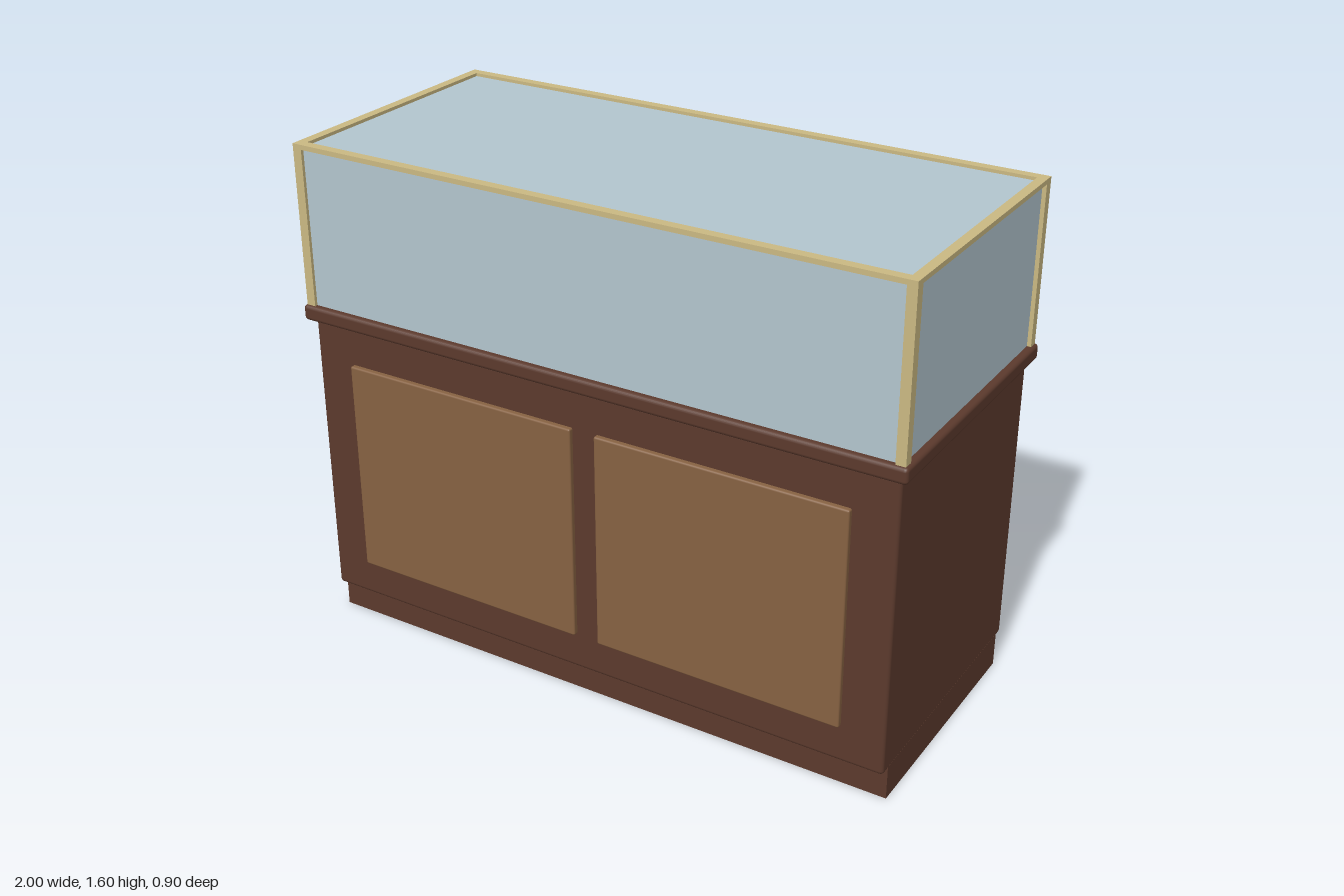
import * as THREE from 'three';
import { RoundedBoxGeometry } from 'three/addons/geometries/RoundedBoxGeometry.js';

function material(name, color) {
  const m = new THREE.MeshStandardMaterial({ color });
  m.name = name;
  return m;
}

export function createModel() {
  const model = new THREE.Group();
  model.name = 'displayCounter';

  const darkWood = material('dark wood', 0x5c3a2d);
  const panelWood = material('panel wood', 0x876242);
  const brass = material('pale brass', 0xcbb983);
  const glass = material('pale blue glass', 0xb3c6cf);

  // Box given by its full size and centre; a radius softens its edges.
  function box(name, mat, [w, h, d], [x, y, z], radius = 0) {
    const geometry = radius
      ? new RoundedBoxGeometry(w, h, d, 2, radius)
      : new THREE.BoxGeometry(w, h, d);
    const mesh = new THREE.Mesh(geometry, mat);
    mesh.name = name;
    mesh.position.set(x, y, z);
    model.add(mesh);
  }

  // Cabinet: recessed plinth, body and overhanging counter top
  box('plinth', darkWood, [1.95, 0.11, 0.78], [0, 0.055, 0]);
  box('cabinetBody', darkWood, [1.95, 0.938, 0.85], [0, 0.569, 0], 0.012);
  box('counterTop', darkWood, [2, 0.05, 0.9], [0, 1.062, 0], 0.012);

  // Two raised panels on the front and two on the back
  for (const z of [-1, 1]) {
    for (const x of [-1, 1]) {
      box('doorPanel', panelWood, [0.8, 0.695, 0.03], [x * 0.44, 0.568, z * 0.426], 0.006);
    }
  }

  // Glass case, set slightly behind its frame
  box('glassCase', glass, [1.955, 0.5, 0.86], [0, 1.335, 0]);

  // Frame posts
  for (const x of [-1, 1]) {
    for (const z of [-1, 1]) {
      box('framePost', brass, [0.03, 0.51, 0.03], [x * 0.975, 1.34, z * 0.425]);
    }
  }

  // Frame top rails
  for (const s of [-1, 1]) {
    box('longRail', brass, [1.98, 0.015, 0.03], [0, 1.5875, s * 0.425]);
    box('shortRail', brass, [0.03, 0.015, 0.82], [s * 0.975, 1.5875, 0]);
  }

  return model;
}
